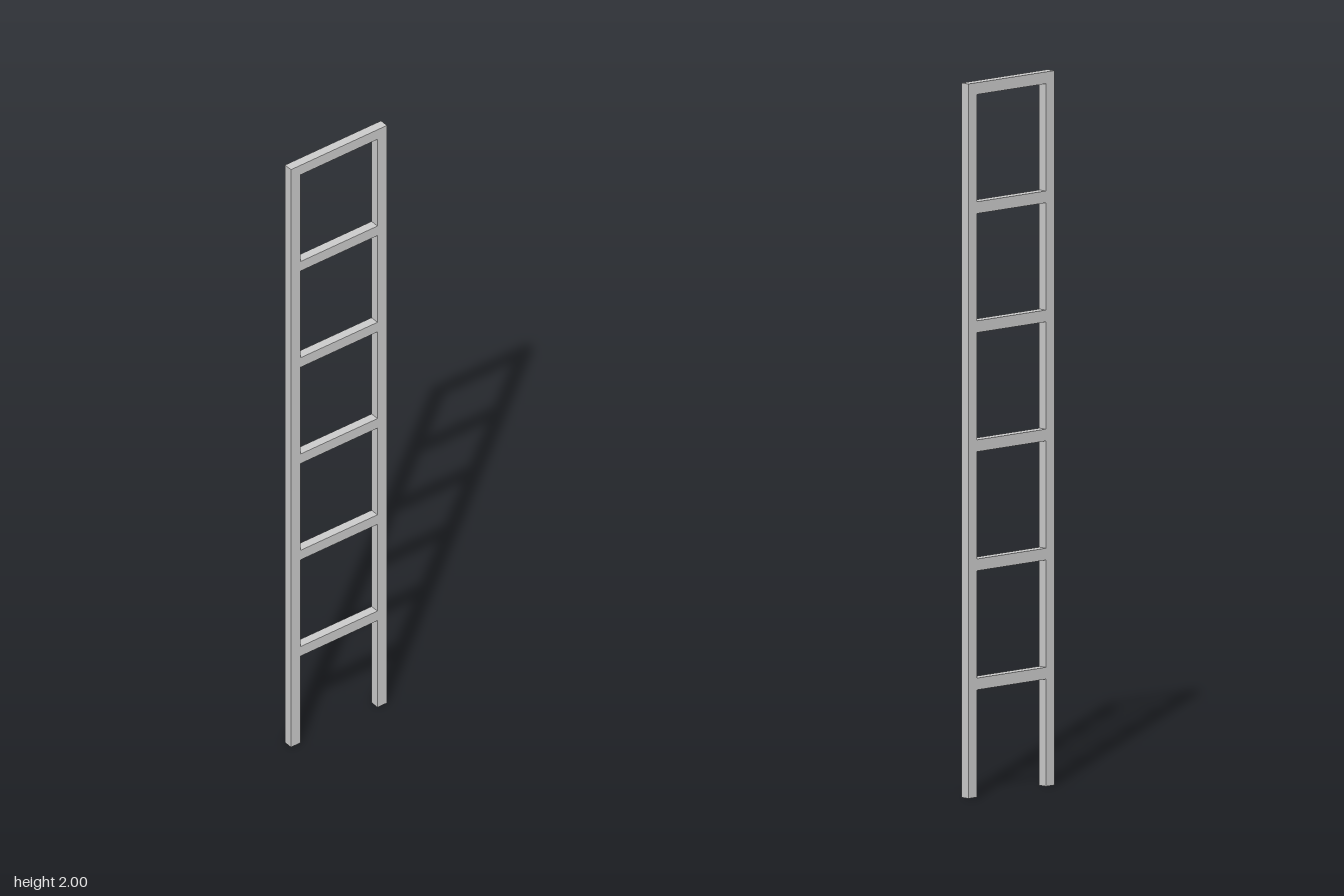
import * as THREE from 'three';

export function createModel() {
  const ladder = new THREE.Group();
  ladder.name = 'ladder';
  const material = new THREE.MeshStandardMaterial({ color: 0xcccccc, flatShading: true });

  const height = 2, width = 0.334, depth = 0.027, bar = 0.033, rungCount = 6;

  const addBar = (name, w, h, x, y) => {
    const mesh = new THREE.Mesh(new THREE.BoxGeometry(w, h, depth), material);
    mesh.name = name;
    mesh.position.set(x, y, 0);
    ladder.add(mesh);
  };

  // Side rails
  const railX = (width - bar) / 2;
  addBar('leftRail', bar, height, railX, height / 2);
  addBar('rightRail', bar, height, -railX, height / 2);

  // Evenly spaced rungs, the last one flush with the rail tops
  for (let i = 1; i <= rungCount; i++) {
    addBar(`rung${i}`, width - 2 * bar, bar, 0, (height * i) / rungCount - bar / 2);
  }

  return ladder;
}
